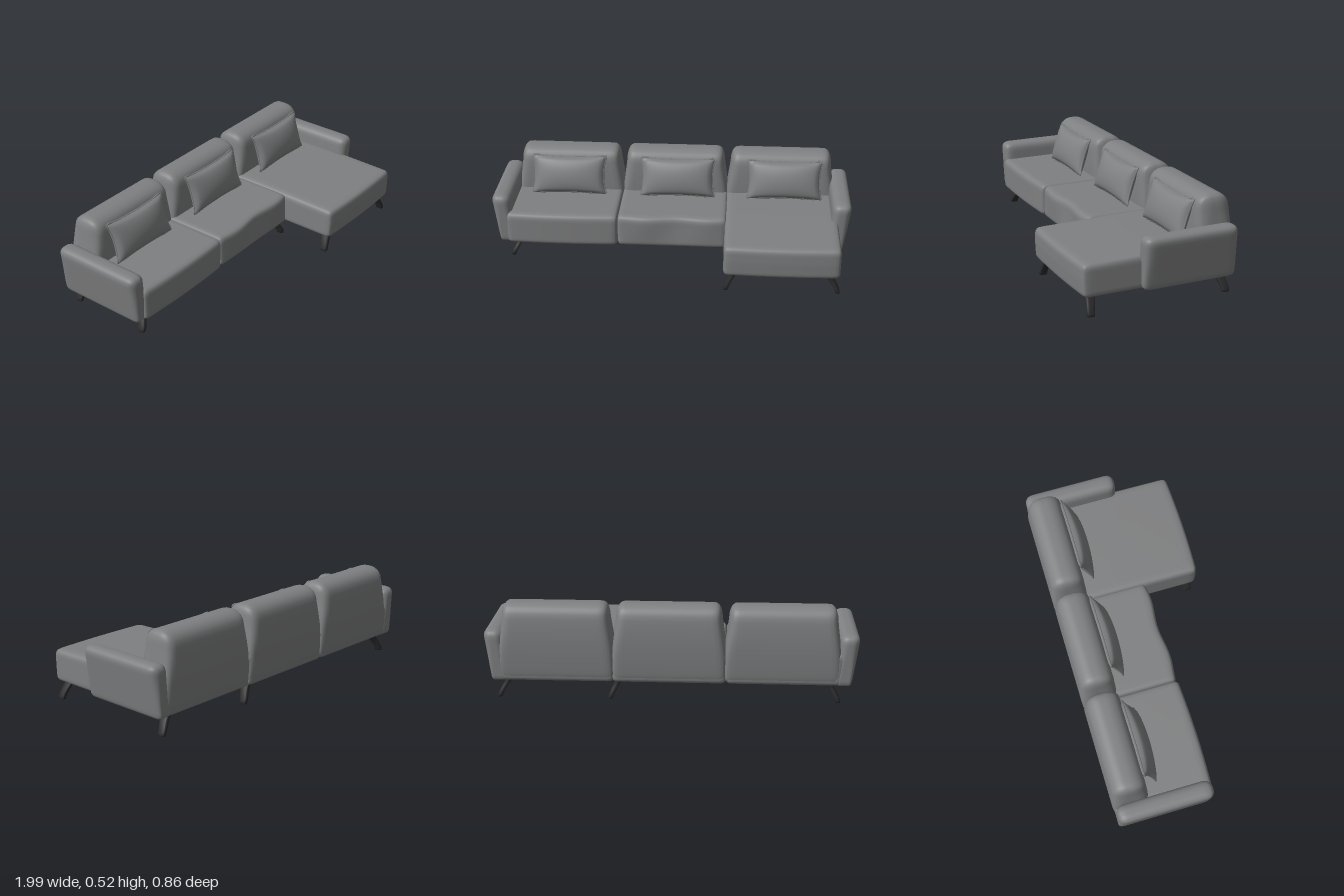
import * as THREE from 'three';
import { mergeVertices } from 'three/addons/utils/BufferGeometryUtils.js';

const { lerp, clamp, smoothstep } = THREE.MathUtils;

// Smooth closed surface: a finely divided box whose points (-1..1) are moved by a rule
function mouldedBox(segments, rule) {
  const g = new THREE.BoxGeometry(2, 2, 2, ...segments);
  g.deleteAttribute('uv');
  g.deleteAttribute('normal');
  g.clearGroups();
  const pos = g.attributes.position;
  const p = new THREE.Vector3();
  for (let i = 0; i < pos.count; i++) {
    rule(p.fromBufferAttribute(pos, i));
    pos.setXYZ(i, p.x, p.y, p.z);
  }
  const merged = mergeVertices(g, 1e-5);
  merged.computeVertexNormals();
  return merged;
}

// Upholstered block between two corners, with its own edge radii at the bottom and top
function softBlock(min, max, bottomR, topR, shape = () => {}) {
  const half = max.map((v, i) => (v - min[i]) / 2);
  const mid = max.map((v, i) => (v + min[i]) / 2);
  return mouldedBox([20, 18, 20], (p) => {
    const a = p.toArray().map((v) => Math.sin((v * Math.PI) / 2)); // crowd points to the edges
    const k = smoothstep(a[1], -0.8, 0.8);
    const r = a.map((_, i) => lerp(bottomR[i], topR[i], k));
    const core = a.map((v, i) => clamp(v * half[i], r[i] - half[i], half[i] - r[i]));
    const d = new THREE.Vector3(...a.map((v, i) => (v * half[i] - core[i]) / r[i])).normalize();
    p.set(core[0] + d.x * r[0], core[1] + d.y * r[1], core[2] + d.z * r[2]);
    shape(p, half);
    p.add(new THREE.Vector3(...mid));
  });
}

export function createModel() {
  const model = new THREE.Group();
  model.name = 'sectionalSofa';
  const fabric = new THREE.MeshStandardMaterial({ color: 0x7f8081 });
  fabric.name = 'greyFabric';
  const legMaterial = new THREE.MeshStandardMaterial({ color: 0x2b2b2b });
  legMaterial.name = 'darkLeg';

  const add = (name, geometry, material = fabric, parent = model) => {
    const mesh = new THREE.Mesh(geometry, material);
    mesh.name = name;
    parent.add(mesh);
    return mesh;
  };

  // Seats: two short ones and the long chaise
  const low = [0.025, 0.025, 0.03];
  const high = [0.018, 0.035, 0.03];
  add('rightSeat', softBlock([-0.915, 0.1, -0.42], [-0.295, 0.284, 0.115], low, high, (p, h) => {
    if (p.z > 0) p.z += 0.01 * (1 - (p.x / h[0]) ** 2) * (p.z / h[2]);
  }));
  add('middleSeat', softBlock([-0.295, 0.1, -0.42], [0.312, 0.282, 0.11], low, high, (p, h) => {
    const u = p.x / h[0];
    if (p.z > 0) p.z += (p.z / h[2]) * (0.008 * Math.cos(u * 5.5 + 2.6) - 0.004 * u) * smoothstep(p.y, -0.12, 0.06);
  }));
  add('chaiseSeat', softBlock([0.303, 0.1, -0.42], [0.928, 0.284, 0.425], low, [0.03, 0.035, 0.03], (p, h) => {
    if (p.y > 0 && p.z > 0) p.y -= 0.008 * (p.z / h[2]) * (p.y / h[1]);
    if (p.z > 0) p.z -= 0.01 * (p.x / h[0]) ** 2 * (p.z / h[2]);
    if (p.z > 0) p.z -= 0.006 * Math.max(0, -p.y / h[1]);
  }));

  // Backrests: narrower and leaning forward at the top rear
  const backs = [['right', -0.9, -0.287], ['middle', -0.294, 0.31], ['left', 0.303, 0.918]];
  for (const [side, x0, x1] of backs) {
    add(side + 'Backrest', softBlock([x0, 0.102, -0.43], [x1, 0.525, -0.23],
      [0.03, 0.04, 0.03], [0.045, 0.06, 0.085], (p, h) => {
        const t = p.y / h[1];
        p.x *= 1 - 0.075 * smoothstep(t, -0.3, 0.9);
        if (p.z < 0) p.z += (p.z / -h[2]) * (0.022 * Math.max(0, t) ** 2 + 0.012 * Math.max(0, -t) ** 2);
        else p.z -= 0.012 * Math.max(0, t) ** 2 * (p.z / h[2]);
      }));
  }

  // Arms: wider at the top and leaning outward
  for (const s of [-1, 1]) {
    add(s > 0 ? 'leftArm' : 'rightArm', softBlock([-0.05, 0.097, -0.42], [0.05, 0.382, 0.108],
      [0.02, 0.025, 0.035], [0.042, 0.04, 0.045], (p, h) => {
        const t = (p.y / h[1] + 1) / 2;
        p.x = p.x * lerp(0.8, 1.08, t) + s * lerp(0.918, 0.947, t);
        if (p.z > 0) p.z -= 0.01 * (1 - t) * (p.z / h[2]);
      }));
  }

  // Scatter cushions: pinched corners, full middle and a piped rim
  const rim = (u, v) => [
    0.21 * u * (1 - 0.07 * (1 - v * v)),
    0.11 * v * (1 - 0.09 * (1 - u * u)),
  ];
  const cushionGeometry = mouldedBox([24, 20, 1], (p) => {
    const [x, y] = rim(p.x, p.y);
    const full = Math.pow(Math.max(0, (1 - p.x ** 2) * (1 - p.y ** 2)), 0.45);
    p.set(x, y, p.z * (0.004 + 0.047 * full));
  });
  const rimPoints = [];
  const corners = [[-1, -1], [1, -1], [1, 1], [-1, 1]];
  corners.forEach(([u, v], i) => {
    const [u2, v2] = corners[(i + 1) % 4];
    for (let k = 0; k < 6; k++) {
      rimPoints.push(new THREE.Vector3(...rim(lerp(u, u2, k / 6), lerp(v, v2, k / 6)), 0));
    }
  });
  const pipingGeometry = new THREE.TubeGeometry(new THREE.CatmullRomCurve3(rimPoints, true), 96, 0.005, 6, true);
  for (const [side, x] of [['right', -0.597], ['middle', 0.025], ['left', 0.633]]) {
    const cushion = new THREE.Group();
    cushion.name = side + 'Cushion';
    add('cushionBody', cushionGeometry, fabric, cushion);
    add('cushionPiping', pipingGeometry, fabric, cushion);
    cushion.position.set(x, 0.388, -0.2);
    cushion.rotation.x = -0.3;
    model.add(cushion);
  }

  // Legs: foot x, foot z, then the shift in x and z up to the top
  const legs = [
    ['chaiseFrontRightLeg', 0.318, 0.37, 0.05, -0.015],
    ['chaiseFrontLeftLeg', 0.92, 0.37, -0.06, -0.015],
    ['middleFrontLeg', 0.322, 0.058, -0.05, -0.035],
    ['rightFrontLeg', -0.893, 0.058, 0.06, -0.035],
    ['middleBackLeg', 0.322, -0.388, -0.05, 0.022],
    ['rightBackLeg', -0.893, -0.388, 0.06, 0.022],
    ['leftBackLeg', 0.92, -0.388, -0.06, 0.022],
  ];
  for (const [name, x, z, dx, dz] of legs) {
    add(name, mouldedBox([4, 10, 4], (p) => {
      const t = (p.y + 1) / 2;
      const round = 1 / Math.pow(p.x ** 4 + p.z ** 4 || 1, 0.25); // squarish oval section
      const k = Math.max(Math.abs(p.x), Math.abs(p.z)) * round;
      const end = t === 0 ? 0.92 : 1;
      p.set(
        x + dx * Math.pow(t, 1.35) + p.x * k * end * lerp(0.013, 0.017, t),
        0.004 + 0.106 * t,
        z + dz * smoothstep(t, 0.1, 1) + p.z * k * end * lerp(0.021, 0.029, t * t),
      );
    }), legMaterial);
  }
  return model;
}
